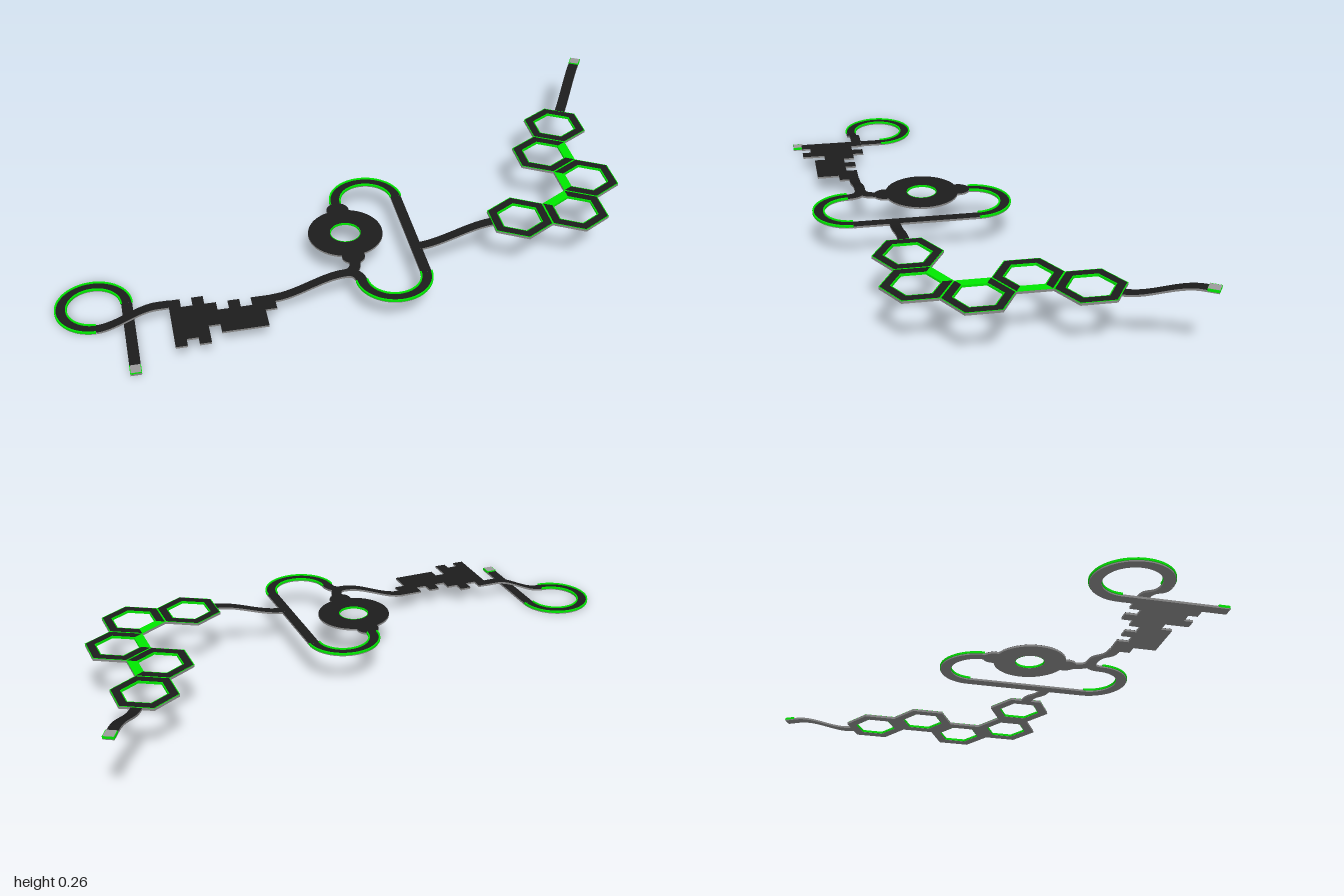
import * as THREE from 'three';

const mat = (name, color) => {
  const m = new THREE.MeshStandardMaterial({ color });
  m.name = name;
  return m;
};

export function createModel() {
  const model = new THREE.Group();
  model.name = 'raisedTrack';
  const base = mat('baseGrey', 0x888888);
  const road = mat('roadDark', 0x1c1c1c);
  const green = mat('edgeGreen', 0x00ee00);
  const pale = mat('padPale', 0x9a9a9a);
  const W = 0.035, H = 0.007, L = [0, 0.061, 0.122, 0.183, 0.244];

  const add = (name, geo, material, parent = model) => {
    const m = new THREE.Mesh(geo, material);
    m.name = name;
    parent.add(m);
    return m;
  };

  // Paths on the ground plane; ramps ease from one level to the next
  const line = (x0, z0, x1, z1, y0, y1 = y0) => {
    const n = y0 === y1 ? 1 : 16;
    return Array.from({ length: n + 1 }, (_, i) => {
      const t = i / n, s = t * t * (3 - 2 * t);
      return new THREE.Vector3(x0 + (x1 - x0) * t, y0 + (y1 - y0) * s, z0 + (z1 - z0) * t);
    });
  };
  const arc = (cx, cz, r, a0, a1, y) => {
    const n = 40;
    return Array.from({ length: n + 1 }, (_, i) => {
      const a = a0 + (a1 - a0) * i / n;
      return new THREE.Vector3(cx + r * Math.cos(a), y, cz + r * Math.sin(a));
    });
  };
  const bend = (a, b, c, y) => new THREE.QuadraticBezierCurve3(
    ...[a, b, c].map(p => new THREE.Vector3(p[0], y, p[1]))).getPoints(10);

  // Rectangular section swept along a path; group 1 is the top face
  const sweep = (path, a, b, y0, y1) => {
    const rings = path.map((p, i) => {
      const d = path[Math.min(i + 1, path.length - 1)].clone().sub(path[Math.max(i - 1, 0)]);
      d.y = 0;
      d.normalize();
      return [[a, y1], [b, y1], [b, y0], [a, y0]].map(([s, y]) =>
        new THREE.Vector3(p.x - d.z * s, p.y + y, p.z + d.x * s));
    });
    const pos = [];
    const quad = (...q) => [0, 1, 2, 0, 2, 3].forEach(k => pos.push(q[k].x, q[k].y, q[k].z));
    let topCount = 0;
    for (let k = 0; k < 4; k++) {
      for (let i = 0; i + 1 < rings.length; i++) {
        const r = rings[i], s = rings[i + 1], n = (k + 1) % 4;
        quad(r[k], r[n], s[n], s[k]);
      }
      if (k === 0) topCount = pos.length / 3;
    }
    const f = rings[0], e = rings[rings.length - 1];
    quad(f[0], f[3], f[2], f[1]);
    quad(e[0], e[1], e[2], e[3]);
    const g = new THREE.BufferGeometry();
    g.setAttribute('position', new THREE.Float32BufferAttribute(pos, 3));
    g.computeVertexNormals();
    g.addGroup(0, topCount, 1);
    g.addGroup(topCount, pos.length / 3 - topCount, 0);
    return g;
  };
  const lane = (name, path, curbs = false) => {
    const g = new THREE.Group();
    g.name = name;
    model.add(g);
    add('lane', sweep(path, -W / 2, W / 2, 0, H), [base, road], g);
    if (curbs) for (const s of [-1, 1]) {
      const c = s * W / 2;
      add('curb', sweep(path, c - 0.0025, c + 0.0025, 0.0045, 0.0115), [green, green], g);
    }
  };

  // Flat plate from a plan outline (shape y becomes z)
  const plate = (name, shape, y, h, material, parent = model) => {
    const g = new THREE.ExtrudeGeometry(shape, { depth: h, bevelEnabled: false, curveSegments: 32 });
    g.rotateX(Math.PI / 2);
    g.translate(0, y + h, 0);
    return add(name, g, material, parent);
  };
  const outline = pts => new THREE.Shape(pts.map(p => new THREE.Vector2(...p)));
  const disc = (x, z, r, hole = 0) => {
    const s = new THREE.Shape().absarc(x, z, r, 0, Math.PI * 2);
    if (hole) s.holes.push(new THREE.Path().absarc(x, z, hole, 0, Math.PI * 2, true));
    return s;
  };

  // Lowest level: start lane, loop and first ramp
  lane('startLane', line(-0.772, 0.551, -0.772, 0.216, L[0]));
  lane('startLoop', arc(-0.877, 0.216, 0.105, 0, -Math.PI * 1.5, L[0]), true);
  lane('firstRamp', line(-0.877, 0.321, -0.68, 0.321, L[0], L[1]));
  lane('platformEntry', line(-0.68, 0.321, -0.64, 0.321, L[1]));

  // Blocky stepped platform
  const tops = [0.305, 0.343, 0.305, 0.343, 0.38, 0.343, 0.38, 0.343, 0.343];
  const ends = [0.525, 0.525, 0.525, 0.448, 0.485, 0.485, 0.485, 0.485, 0.41];
  const colX = i => -0.645 + i * 0.0368;
  const steps = [];
  tops.forEach((z, i) => steps.push([colX(i), z], [colX(i + 1), z]));
  for (let i = 8; i >= 0; i--) {
    const notch = i === 1 ? 0.03 : 0;
    steps.push([colX(i + 1), ends[i] - notch], [colX(i), ends[i] - notch]);
  }
  plate('platformBase', outline(steps), L[1], H - 0.0005, base);
  plate('platformTop', outline(steps), L[1] + H - 0.0005, 0.0005, road);
  lane('secondRamp', line(-0.32, 0.359, -0.085, 0.359, L[1], L[2]));

  // Middle level: oval circuit with ring plaza
  const ox = 0.062, r = 0.104, y2 = L[2], zb = -0.005, zf = 0.406;
  lane('upperBend', bend([-0.087, 0.359], [-0.042, 0.359], [-0.042, 0.29], y2));
  lane('lowerBend', bend([-0.087, 0.359], [-0.042, 0.359], [-0.042, zf], y2));
  lane('ovalBackCurve', arc(ox, zb, r, Math.PI, Math.PI * 2, y2), true);
  lane('ovalFrontCurve', arc(ox, zf, r, Math.PI, 0, y2), true);
  lane('ovalStraight', line(ox + r, zb, ox + r, zf, y2));
  lane('plazaLink', line(-0.042, 0.03, -0.042, zb, y2));
  const plaza = [['plaza', 0.155, 0.122, 0.05], ['backNode', 0.03, 0.037], ['frontNode', 0.28, 0.037]];
  for (const [name, z, rad, hole] of plaza) {
    plate(name + 'Base', disc(-0.042, z, rad, hole), y2, H - 0.0005, base);
    plate(name + 'Top', disc(-0.042, z, rad, hole), y2 + H - 0.0005, 0.0005, road);
  }
  plate('plazaInnerEdge', disc(-0.042, 0.155, 0.0505, 0.048), y2 + 0.0005, H, green);
  lane('thirdRamp', line(ox + r, 0.273, 0.43, 0.273, y2, L[3]));

  // Upper level: five hexagon rings, each of six mitred walls
  const ap = 0.095, row = ap * Math.sqrt(3), hx = 0.513, hz = 0.273;
  const cells = [[0, 0, -1], [2, 0, 4], [3, 1, 3], [2, 2, 0], [3, 3, -1]];
  const wall = (cx, cz, k, inner, outer) => {
    const at = (rad, a) => [cx + rad * Math.cos(a), cz + rad * Math.sin(a)];
    const a0 = (k - 0.5) * Math.PI / 3, a1 = (k + 0.5) * Math.PI / 3, c = 2 / Math.sqrt(3);
    return outline([at(inner * c, a0), at(outer * c, a0), at(outer * c, a1), at(inner * c, a1)]);
  };
  cells.forEach(([i, j, lit]) => {
    const ring = new THREE.Group();
    ring.name = 'hexagonRing';
    model.add(ring);
    const cx = hx + i * ap, cz = hz - j * row;
    for (let k = 0; k < 6; k++) {
      plate('wall', wall(cx, cz, k, 0.065, ap), L[3], 0.008, base, ring);
      plate('innerLining', wall(cx, cz, k, 0.063, 0.0652), L[3] + 0.001, 0.0075, green, ring);
      plate('edging', wall(cx, cz, k, 0.065, ap), L[3] + 0.008, 0.0005, green, ring);
      if (k !== lit) plate('roadTop', wall(cx, cz, k, 0.0665, ap - 0.003), L[3] + 0.0085, 0.0005, road, ring);
    }
  });

  // Last ramp and finish lane, leaving the far hexagon at 30 degrees
  const ex = hx + 3 * ap, ez = hz - 3 * row;
  const out = t => [ex + 0.5 * t, ez - 0.866 * t];
  lane('lastRamp', line(...out(0.09), ...out(0.325), L[3], L[4]));
  lane('finishLane', line(...out(0.325), ...out(0.37), L[4]));

  // Start and finish pads
  const pad = (name, x, y, z, turn) => {
    const g = new THREE.Group();
    g.name = name;
    g.position.set(x, y, z);
    g.rotation.y = turn;
    model.add(g);
    add('padBlock', new THREE.BoxGeometry(0.036, 0.008, 0.036).translate(0, 0.0075, 0), green, g);
    add('padTop', new THREE.BoxGeometry(0.032, 0.0005, 0.035).translate(0, 0.01175, 0), pale, g);
  };
  pad('startPad', -0.772, L[0], 0.533, 0);
  const [fx, fz] = out(0.353);
  pad('finishPad', fx, L[4], fz, -Math.PI / 6);

  return model;
}
